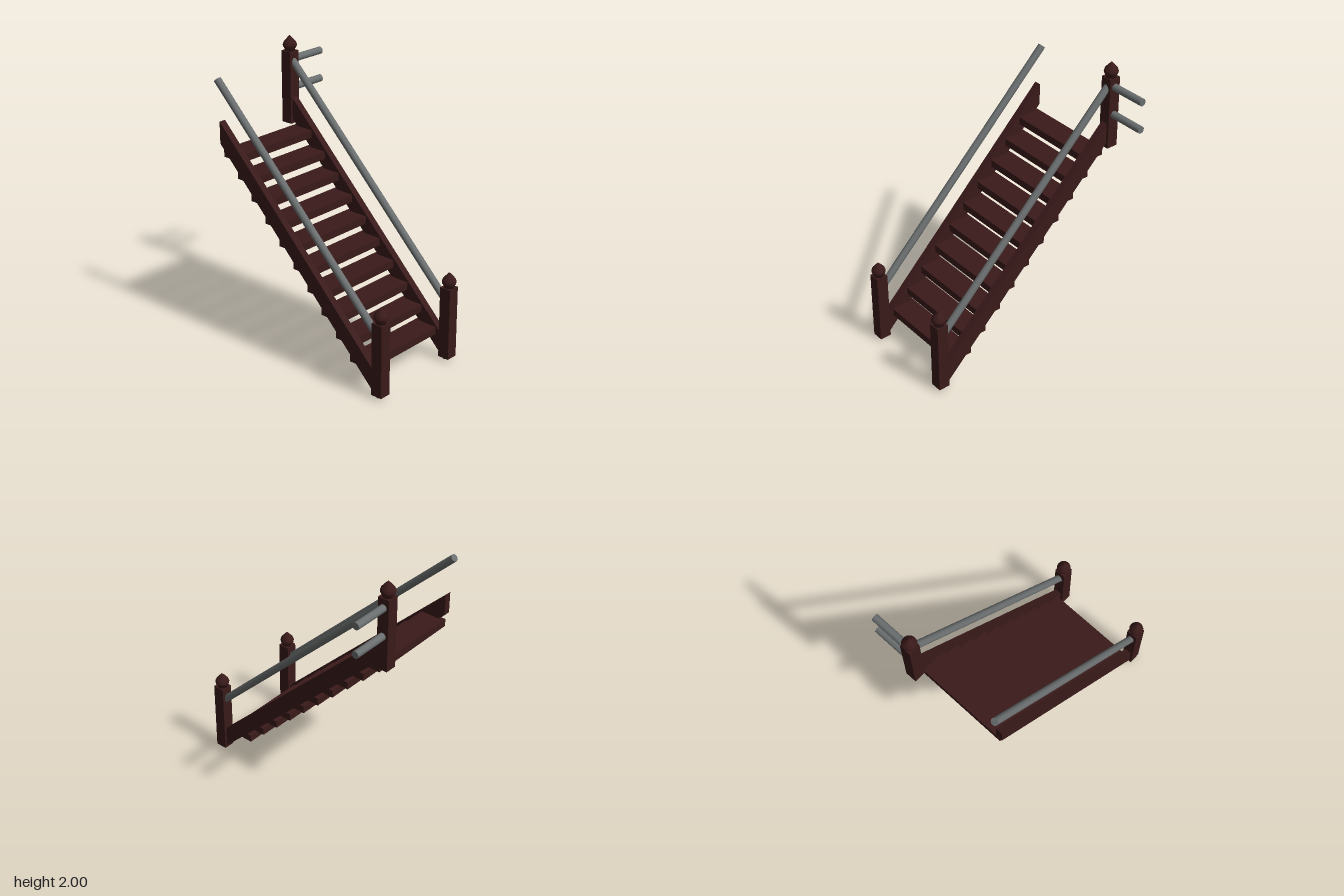
import * as THREE from 'three';

const wood = new THREE.MeshStandardMaterial({ color: 0x3a1a1a });
const metal = new THREE.MeshStandardMaterial({ color: 0x6a6e6e });

const LEFT = 0.215, RIGHT = -0.478; // x of the two sides
const END = 0.725;                  // z of the posts

export function createModel() {
  const model = new THREE.Group();
  model.name = 'staircase';

  const add = (name, geometry, material, parent = model) => {
    const mesh = new THREE.Mesh(geometry, material);
    mesh.name = name;
    parent.add(mesh);
    return mesh;
  };

  // Round bar between two points
  const bar = (name, a, b, radius = 0.026) => {
    const dir = b.clone().sub(a);
    const mesh = add(name, new THREE.CylinderGeometry(radius, radius, dir.length(), 16), metal);
    mesh.position.copy(a).add(b).multiplyScalar(0.5);
    mesh.quaternion.setFromUnitVectors(new THREE.Vector3(0, 1, 0), dir.normalize());
  };

  // Square newel post with a turned, pointed finial
  const finialProfile = [
    [0, 0], [0.034, 0], [0.036, 0.012], [0.047, 0.028], [0.05, 0.042],
    [0.044, 0.06], [0.028, 0.08], [0.012, 0.097], [0, 0.11],
  ].map(([r, y]) => new THREE.Vector2(r, y));
  const post = (name, x, y, z) => {
    const group = new THREE.Group();
    group.name = name;
    group.position.set(x, y, z);
    add('postShaft', new THREE.BoxGeometry(0.084, 0.52, 0.084), wood, group).position.y = 0.26;
    add('finial', new THREE.LatheGeometry(finialProfile, 16), wood, group).position.y = 0.52;
    model.add(group);
  };
  post('frontLeftPost', LEFT, 0.02, END);
  post('frontRightPost', RIGHT, 0.02, END);
  post('topPost', LEFT, 1.37, -END);

  // Sloping stringers with upright end cuts, profile drawn in (-z, y)
  const profile = new THREE.Shape([
    [-0.72, 0], [0.685, 1.405], [0.685, 1.56], [-0.72, 0.155],
  ].map(([u, y]) => new THREE.Vector2(u, y)));
  const stringerGeometry = new THREE.ExtrudeGeometry(profile, { depth: 0.05, bevelEnabled: false });
  stringerGeometry.translate(0, 0, -0.025).rotateY(Math.PI / 2);

  // One stringer and one handrail per side
  for (const [side, x] of [['left', LEFT], ['right', RIGHT]]) {
    add(side + 'Stringer', stringerGeometry, wood).position.x = x;
    bar(side + 'Handrail', new THREE.Vector3(x, 0.415, 0.72), new THREE.Vector3(x, 1.84, -0.717));
  }

  // Open treads
  const treadGeometry = new THREE.BoxGeometry(LEFT - RIGHT, 0.054, 0.176);
  for (let i = 0; i < 10; i++) {
    const tread = add('tread', treadGeometry, wood);
    tread.position.set((LEFT + RIGHT) / 2, 0.193 + i * 0.1267, 0.552 - i * 0.1268);
  }

  // Landing rails leaving the top post sideways
  for (const y of [1.62, 1.825]) {
    bar('landingRail', new THREE.Vector3(LEFT, y, -END), new THREE.Vector3(0.52, y, -END));
  }

  return model;
}
